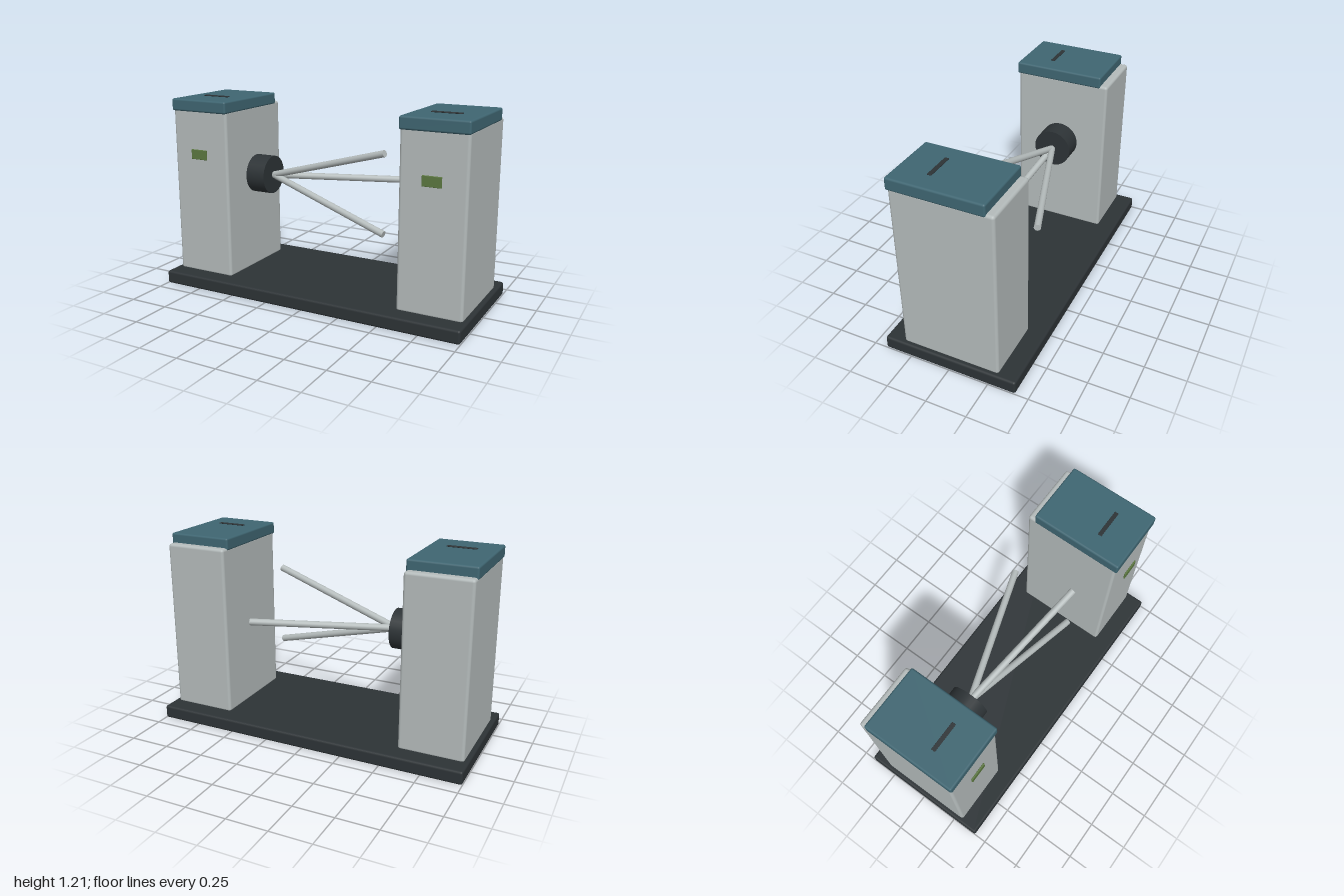
import * as THREE from 'three';
import { RoundedBoxGeometry } from 'three/addons/geometries/RoundedBoxGeometry.js';

const paint = (color) => new THREE.MeshStandardMaterial({ color });

export function createModel() {
  const model = new THREE.Group();
  model.name = 'turnstileGate';

  const steel = paint(0xb4bbbb);
  const dark = paint(0x2d3336);
  const teal = paint(0x3f6672);
  const green = paint(0x5c7840);

  // Softened box given by its centre and size
  function box(parent, name, material, [w, h, d], [x, y, z], radius) {
    const mesh = new THREE.Mesh(new RoundedBoxGeometry(w, h, d, 2, radius), material);
    mesh.name = name;
    mesh.position.set(x, y, z);
    parent.add(mesh);
  }

  // Floor plate
  box(model, 'basePlate', dark, [2, 0.083, 0.84], [0, 0.0415, 0], 0.014);

  // Two matching cabinets with lid, card slot and display
  for (const [side, x] of [['left', 0.773], ['right', -0.773]]) {
    const cabinet = new THREE.Group();
    cabinet.name = side + 'Cabinet';
    cabinet.position.x = x;
    box(cabinet, 'cabinetBody', steel, [0.4, 1.07, 0.61], [0, 0.607, 0], 0.018);
    box(cabinet, 'lid', teal, [0.406, 0.076, 0.575], [0, 1.163, 0.03], 0.012);
    box(cabinet, 'cardSlot', dark, [0.18, 0.006, 0.025], [0, 1.206, 0.117], 0.002);
    box(cabinet, 'display', green, [0.114, 0.062, 0.01], [0, 0.86, 0.322], 0.003);
    model.add(cabinet);
  }

  // Rotor on the inner wall of the right cabinet
  const rotor = new THREE.Group();
  rotor.name = 'rotor';
  rotor.position.set(-0.43, 0.705, 0);
  model.add(rotor);

  const hub = new THREE.Mesh(new THREE.CylinderGeometry(0.122, 0.122, 0.13, 28), dark);
  hub.name = 'hub';
  hub.rotation.z = Math.PI / 2;
  hub.position.x = -0.065;
  rotor.add(hub);

  // Three arms spread evenly on a cone around the rotor axis
  const up = new THREE.Vector3(0, 1, 0);
  for (let i = 0; i < 3; i++) {
    const a = (i * Math.PI * 2) / 3;
    const tip = new THREE.Vector3(0.845, 0.28 * Math.sin(a), -0.28 * Math.cos(a));
    const arm = new THREE.Mesh(new THREE.CylinderGeometry(0.021, 0.021, tip.length(), 16), steel);
    arm.name = 'arm' + (i + 1);
    arm.position.copy(tip).multiplyScalar(0.5);
    arm.quaternion.setFromUnitVectors(up, tip.clone().normalize());
    rotor.add(arm);
  }

  return model;
}
